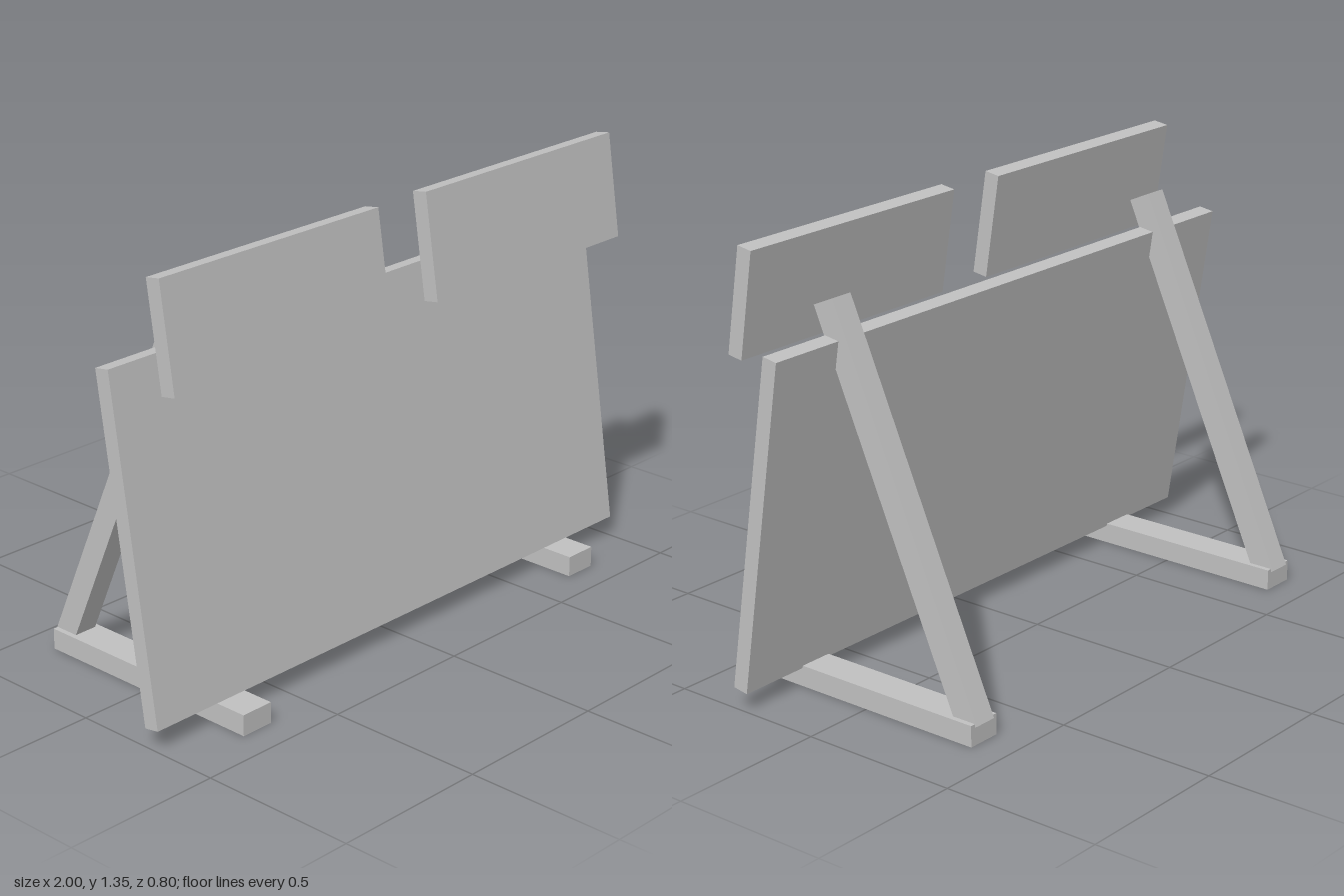
import * as THREE from 'three';

export function createModel() {
  const group = new THREE.Group();
  const grey = new THREE.MeshStandardMaterial({ color: 0xc0c0c0 });
  grey.name = 'plainGrey';

  // Straight board between two end-centres given as [y, z]
  function board(name, x, width, thickness, bottom, top) {
    const dy = top[0] - bottom[0];
    const dz = top[1] - bottom[1];
    const mesh = new THREE.Mesh(new THREE.BoxGeometry(width, Math.hypot(dy, dz), thickness), grey);
    mesh.name = name;
    mesh.position.set(x, (top[0] + bottom[0]) / 2, (top[1] + bottom[1]) / 2);
    mesh.rotation.x = Math.atan2(dz, dy);
    group.add(mesh);
  }

  // Large leaning panel
  board('mainPanel', 0, 2, 0.05, [0.061, 0.271], [1.078, 0.113]);

  for (const [side, s] of [['left', 1], ['right', -1]]) {
    // Small plate floating in front of the panel's top edge
    board(side + 'UpperPlate', s * 0.52, 0.84, 0.05, [1.03, 0.304], [1.35, 0.254]);
    // Rear prop leaning through the panel's top edge
    board(side + 'RearProp', s * 0.718, 0.075, 0.075, [0.0425, -0.3625], [1.1775, 0.1435]);
    // Flat foot on the ground
    const foot = new THREE.Mesh(new THREE.BoxGeometry(0.108, 0.065, 0.79), grey);
    foot.name = side + 'Foot';
    foot.position.set(s * 0.718, 0.0325, 0.004);
    group.add(foot);
  }
  return group;
}
